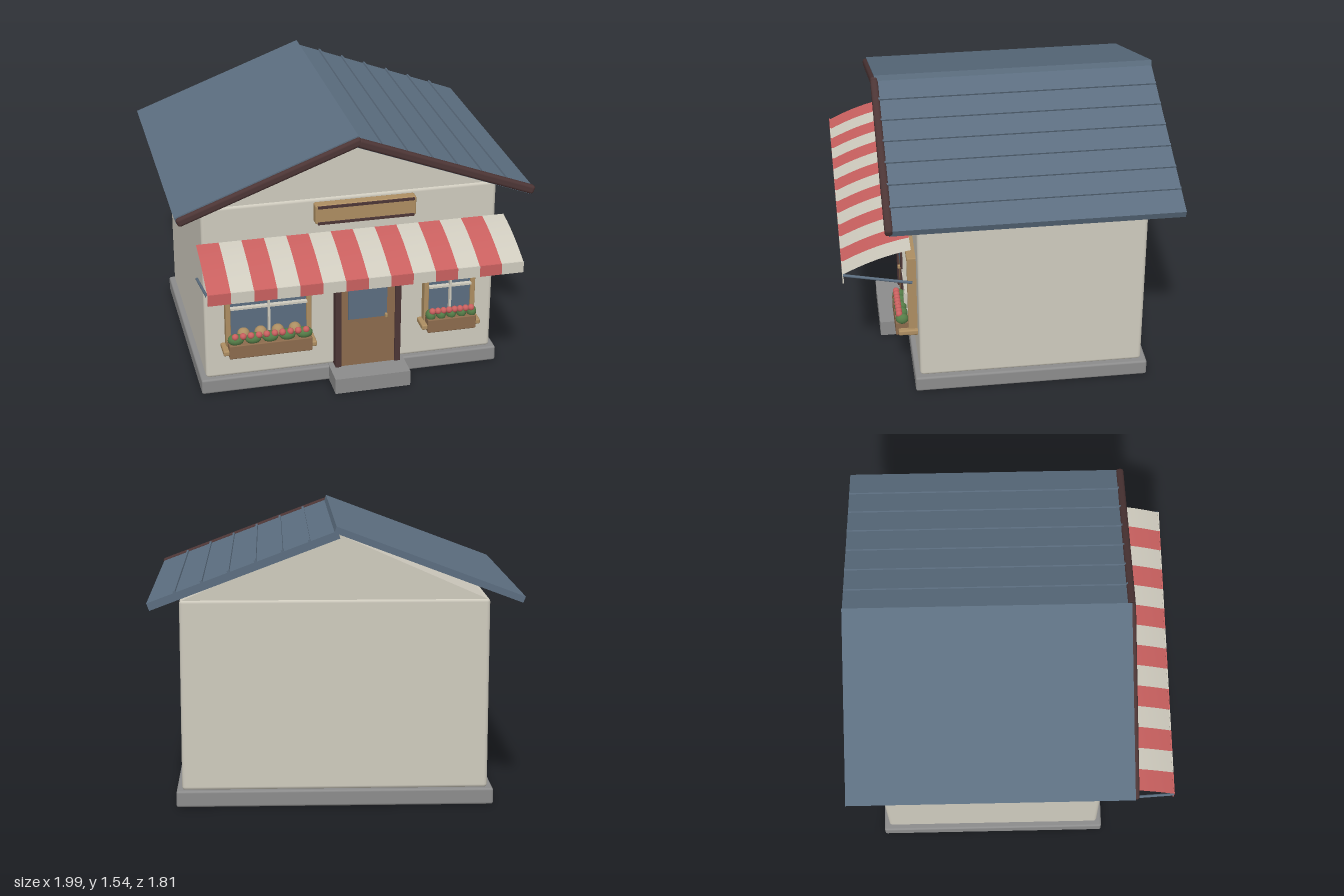
import * as THREE from 'three';
import { RoundedBoxGeometry } from 'three/addons/geometries/RoundedBoxGeometry.js';

const paint = (name, color, side = THREE.FrontSide) => {
  const m = new THREE.MeshStandardMaterial({ color, side });
  m.name = name;
  return m;
};

export function createModel() {
  const cream = paint('cream', 0xcfcbbe, THREE.DoubleSide);
  const red = paint('red', 0xc9605f, THREE.DoubleSide);
  const slate = paint('slate blue', 0x5c6e80);
  const stone = paint('stone grey', 0x8c8c8c);
  const tan = paint('tan wood', 0xad8e62);
  const brown = paint('brown wood', 0x8c6b4d);
  const dark = paint('dark brown', 0x4c3535);
  const green = paint('leaf green', 0x557d48);

  const shop = new THREE.Group();
  shop.name = 'shop';

  const add = (parent, name, geometry, material) => {
    const mesh = new THREE.Mesh(geometry, material);
    mesh.name = name;
    parent.add(mesh);
    return mesh;
  };
  // Box from its limits, with optional rounded edges
  const box = (parent, name, mat, [x0, x1], [y0, y1], [z0, z1], r = 0) => {
    const s = [x1 - x0, y1 - y0, z1 - z0];
    const g = r ? new RoundedBoxGeometry(...s, 2, r) : new THREE.BoxGeometry(...s);
    const mesh = add(parent, name, g, mat);
    mesh.position.set((x0 + x1) / 2, (y0 + y1) / 2, (z0 + z1) / 2);
    return mesh;
  };
  const ball = (parent, name, mat, r, x, y, z, sx = 1, sy = 1) => {
    const mesh = add(parent, name, new THREE.SphereGeometry(r, 14, 10), mat);
    mesh.position.set(x, y, z);
    mesh.scale.set(sx, sy, 1);
  };

  // Foundation, step and walls
  box(shop, 'foundation', stone, [-0.862, 0.862], [0, 0.09], [-0.775, 0.53], 0.012);
  box(shop, 'doorStep', stone, [-0.13, 0.305], [0, 0.092], [0.45, 0.69]);
  box(shop, 'walls', cream, [-0.832, 0.832], [0.085, 1.135], [-0.745, 0.502], 0.02);

  // Gable prism
  const tri = new THREE.Shape([[-0.82, 1.13], [0.82, 1.13], [0, 1.49]].map(p => new THREE.Vector2(...p)));
  const gable = add(shop, 'gable', new THREE.ExtrudeGeometry(tri, { depth: 1.23, bevelEnabled: false }), cream);
  gable.position.z = -0.737;

  // Roof: the smooth left slope overlaps the ribbed right slope at the ridge
  const pitch = 0.36, back = -0.908;
  const left = new THREE.Group();
  left.name = 'rightHandRoofSlope';
  left.position.y = 1.545;
  left.rotation.z = pitch;
  box(left, 'roofPanel', slate, [-1.062, 0], [-0.035, 0], [back, 0.655]);
  box(left, 'roofTrim', dark, [-1.06, 0.005], [-0.056, -0.007], [0.634, 0.677], 0.016);
  const right = new THREE.Group();
  right.name = 'leftHandRoofSlope';
  right.position.y = 1.52;
  right.rotation.z = -pitch;
  box(right, 'roofPanel', slate, [-0.005, 1.06], [-0.042, 0], [back, 0.655]);
  box(right, 'roofTrim', dark, [0, 1.066], [-0.038, 0.012], [0.634, 0.677], 0.016);
  for (let i = 1; i <= 6; i++) {
    const x = i * 0.1505;
    box(right, 'roofRib', slate, [x - 0.006, x + 0.006], [-0.01, 0.01], [back, 0.65]);
  }
  shop.add(left, right);

  // Striped awning with a hanging valance
  const stripes = 14, w = 1.734 / stripes;
  const awning = new THREE.Group();
  awning.name = 'awning';
  shop.add(awning);
  for (let i = 0; i < stripes; i++) {
    const mat = i % 2 ? cream : red, x = -0.867 + (i + 0.5) * w;
    const g = new THREE.PlaneGeometry(w, 1, 1, 10), p = g.attributes.position;
    for (let k = 0; k < p.count; k++) {
      const t = 0.5 - p.getY(k);
      p.setXYZ(k, p.getX(k) + x, 0.945 - 0.06 * t - 0.065 * t * t, 0.537 + 0.363 * t);
    }
    g.computeVertexNormals();
    add(awning, 'awningStripe', g, mat);
    box(awning, 'awningValance', mat, [x - w / 2, x + w / 2], [0.762, 0.826], [0.897, 0.904]);
  }
  for (const s of [-1, 1]) {
    const a = new THREE.Vector3(s * 0.868, 0.738, 0.535), b = new THREE.Vector3(s * 0.868, 0.815, 0.9);
    add(awning, 'awningArm', new THREE.TubeGeometry(new THREE.LineCurve3(a, b), 1, 0.008, 8), slate);
  }

  // Sign board
  const sign = new THREE.Group();
  sign.name = 'signBoard';
  shop.add(sign);
  box(sign, 'signFrame', tan, [-0.213, 0.355], [1.003, 1.115], [0.5, 0.56], 0.01);
  for (const y of [1.01, 1.104]) box(sign, 'signRail', dark, [-0.2, 0.342], [y - 0.007, y + 0.007], [0.55, 0.568]);

  // Door
  const door = new THREE.Group();
  door.name = 'door';
  shop.add(door);
  for (const x of [-0.1, 0.245]) box(door, 'doorPost', dark, [x, x + 0.035], [0.09, 0.75], [0.495, 0.56], 0.005);
  box(door, 'doorLintel', dark, [-0.1, 0.28], [0.728, 0.75], [0.495, 0.56], 0.005);
  box(door, 'doorLeaf', brown, [-0.066, 0.246], [0.092, 0.73], [0.495, 0.55]);
  box(door, 'doorGlass', slate, [-0.026, 0.198], [0.39, 0.677], [0.549, 0.556]);
  box(door, 'doorHandle', tan, [0.185, 0.2], [0.385, 0.41], [0.55, 0.572], 0.005);

  // Windows with sills and flower boxes
  const makeWindow = (name, x0, x1, lift, bushes, blooms, pots) => {
    const win = new THREE.Group(), mid = (x0 + x1) / 2;
    win.name = name;
    shop.add(win);
    for (const x of [x0, x1 - 0.028])
      box(win, 'windowPost', tan, [x, x + 0.028], [0.28, 0.79], [0.495, 0.552], 0.005);
    box(win, 'windowHead', tan, [x0, x1], [0.76, 0.79], [0.495, 0.552], 0.005);
    box(win, 'windowGlass', slate, [x0 + 0.02, x1 - 0.02], [0.29, 0.765], [0.5, 0.54]);
    box(win, 'uprightBar', cream, [mid - 0.006, mid + 0.006], [0.3, 0.76], [0.54, 0.565]);
    box(win, 'crossBar', cream, [x0 + 0.026, x1 - 0.026], [0.534, 0.546], [0.54, 0.565]);
    box(win, 'windowSill', tan, [x0 - 0.025, x1 + 0.02], [0.275 + lift, 0.306 + lift], [0.495, 0.608], 0.008);
    box(win, 'flowerBox', brown, [x0 + 0.006, x1 - 0.01], [0.26 + lift, 0.343 + lift], [0.55, 0.622], 0.006);
    const span = x1 - x0;
    for (let i = 0; i < bushes; i++)
      ball(win, 'bush', green, 0.036, x0 + span * (i + 0.5) / bushes, 0.362 + lift * 0.8, 0.585, span / bushes / 0.075, 0.9);
    for (let i = 0; i < blooms; i++)
      ball(win, 'flower', red, 0.019, x0 + 0.02 + (span - 0.04) * (i + 0.5) / blooms, 0.386 + lift, 0.6);
    for (let i = 0; i < pots; i++)
      ball(win, 'potBack', tan, 0.036, x0 + span * (i + 1) / (pots + 1), 0.378, 0.556);
  };
  makeWindow('rightWindow', -0.72, -0.236, 0, 5, 10, 4);
  makeWindow('leftWindow', 0.416, 0.715, 0.022, 5, 8, 0);

  return shop;
}
